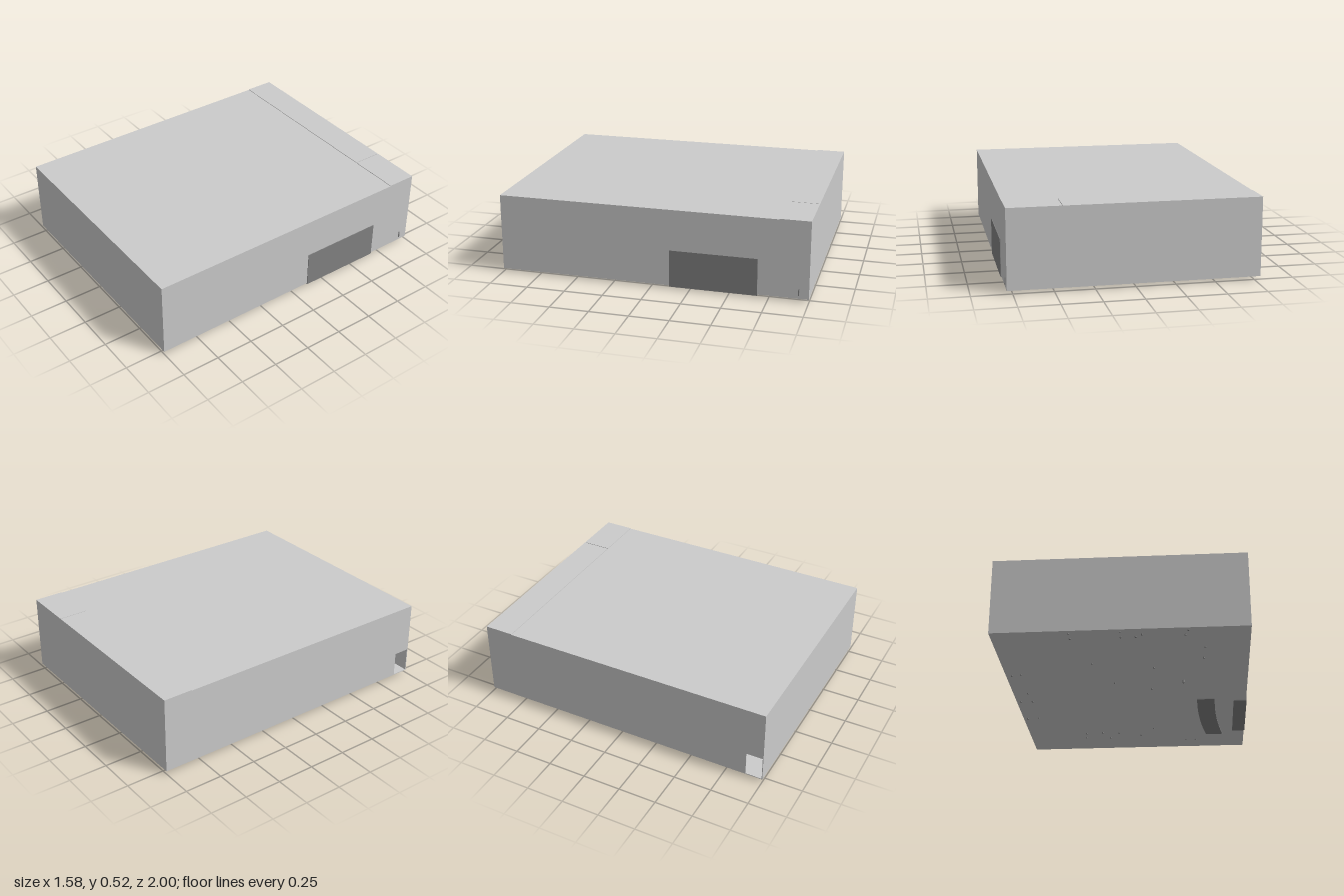
import * as THREE from 'three';

const grey = new THREE.MeshStandardMaterial({ color: 0xcccccc, flatShading: true });
const dark = new THREE.MeshStandardMaterial({ color: 0x828282, flatShading: true });

const X0 = -0.79, X1 = 0.785, Y0 = 0.02, Y1 = 0.52, T = 0.005;
const SEAM = -0.806;

export function createModel() {
  const model = new THREE.Group();

  const add = (name, geometry, material = grey) => {
    const mesh = new THREE.Mesh(geometry, material);
    mesh.name = name;
    model.add(mesh);
    return mesh;
  };
  // Box given by its extents on each axis
  const slab = (name, [xa, xb], [ya, yb], [za, zb], material) =>
    add(name, new THREE.BoxGeometry(xb - xa, yb - ya, zb - za), material)
      .position.set((xa + xb) / 2, (ya + yb) / 2, (za + zb) / 2);

  // Hollow case: floor and walls
  slab('floor', [X0, X1], [Y0, Y0 + T], [-1, 1]);
  slab('frontWall', [X0, X1], [Y0, Y1], [1 - T, 1]);
  slab('backWall', [X0, X1], [Y0, Y1], [-1, -1 + T]);
  slab('leftWall', [X1 - T, X1], [Y0, Y1], [-1, 1]);

  // Right wall with a rectangular notch in its lower front corner
  const wall = new THREE.Shape([
    [-1, Y0], [0.886, Y0], [0.886, 0.185], [1, 0.185], [1, Y1], [-1, Y1],
  ].map(([z, y]) => new THREE.Vector2(z, y)));
  const wallGeometry = new THREE.ExtrudeGeometry(wall, { depth: T, bevelEnabled: false });
  wallGeometry.rotateY(-Math.PI / 2).translate(X0 + T, 0, 0);
  add('rightWall', wallGeometry);

  // Main lid and the slightly raised, divided rear strip
  slab('lid', [X0, X1], [Y1 - T, Y1], [SEAM, 1]);
  slab('rearStrip', [X0, 0.443], [Y1 - T, Y1 + 0.004], [-1, SEAM]);
  slab('rearStripEnd', [0.447, X1], [Y1 - T, Y1 + 0.004], [-1, SEAM]);

  // Dark cover folded around the lower left edge
  slab('sideCover', [X1, 0.789], [0.013, 0.255], [-0.68, -0.12], dark);
  slab('underCover', [0.7, X1], [0.013, Y0], [-0.68, -0.12], dark);

  // Small catch near the back of the left side
  slab('catch', [X1, 0.79], [0.04, 0.085], [-0.94, -0.934], dark);

  // Gently curved dark strip under the floor
  const strip = new THREE.Shape();
  strip.moveTo(0.51, -0.74);
  strip.quadraticCurveTo(0.45, -0.45, 0.45, -0.08);
  strip.lineTo(0.57, -0.08);
  strip.quadraticCurveTo(0.57, -0.45, 0.63, -0.74);
  const stripGeometry = new THREE.ExtrudeGeometry(strip, { depth: 0.007, bevelEnabled: false });
  stripGeometry.rotateX(Math.PI / 2).translate(0, Y0, 0);
  add('curvedStrip', stripGeometry, dark);

  // Short pins scattered under the floor, as x, z
  const pins = [
    [0.15, 0.11], [0.18, 0.45], [-0.09, 0.22], [-0.21, 0.53], [0.5, 0.58],
    [0.51, 0.73], [0.39, 0.91], [0.41, 0.97], [0.09, 0.9], [0.13, 0.93],
    [0, 0.9], [0, 0.97], [-0.31, 0.9], [-0.31, 0.97], [-0.69, 0.39],
    [-0.75, 0.38], [-0.69, 0.09], [-0.68, -0.05], [-0.76, -0.05], [-0.68, -0.36],
    [-0.76, -0.36], [0.03, -0.74], [-0.13, -0.69], [-0.2, -0.78], [-0.37, -0.68],
    [-0.38, -0.76], [-0.25, -0.67], [0.43, -0.85], [0.36, -0.85], [0.13, -0.61],
  ];
  const pin = (name, x, z, radius, bottom) =>
    add(name, new THREE.CylinderGeometry(radius, radius, Y0 - bottom, 8), dark)
      .position.set(x, (Y0 + bottom) / 2, z);
  for (const [x, z] of pins) pin('pin', x, z, 0.006, 0.013);
  pin('longPin', 0.365, 0.235, 0.008, 0);

  return model;
}
